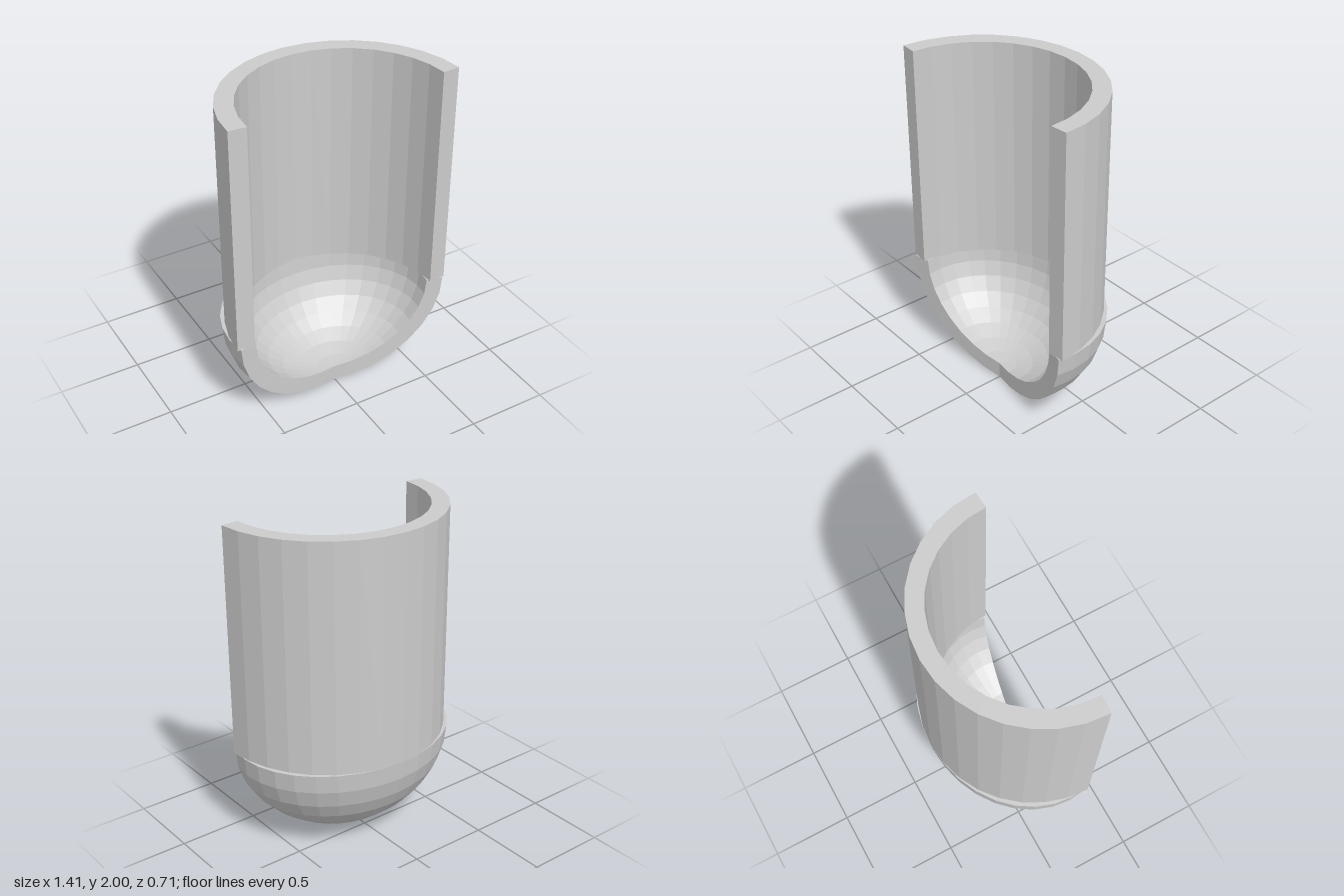
import * as THREE from 'three';

// Sweeps a closed cross-section round the back in flat facets and caps both ends.
// section(): points {rx, rz, zc, y}, outer side going up, then inner side going down.
function sweep(name, section, halfAngle, steps) {
  const rings = [];
  for (let i = 0; i <= steps; i++) {
    const a = halfAngle * (2 * i / steps - 1);
    rings.push(section.map(p => new THREE.Vector3(p.rx * Math.sin(a), p.y, p.zc - p.rz * Math.cos(a))));
  }
  const pos = [];
  const tri = (a, b, c) => {
    const area = new THREE.Triangle(a, b, c).getArea();
    if (area > 1e-8) for (const v of [a, b, c]) pos.push(v.x, v.y, v.z);
  };
  const quad = (a, b, c, d) => { tri(a, b, c); tri(a, c, d); };
  const n = section.length;
  for (let i = 0; i < steps; i++) {
    const r = rings[i], s = rings[i + 1];
    for (let j = 0; j < n; j++) {
      const k = (j + 1) % n;
      quad(r[j], r[k], s[k], s[j]);
    }
  }
  // end faces, joining the outer and inner sides
  const first = rings[0], last = rings[steps];
  for (let j = 0; j < n / 2 - 1; j++) {
    const c = n - 2 - j, d = n - 1 - j;
    quad(first[d], first[c], first[j + 1], first[j]);
    quad(last[j], last[j + 1], last[c], last[d]);
  }
  const geometry = new THREE.BufferGeometry();
  geometry.setAttribute('position', new THREE.Float32BufferAttribute(pos, 3));
  geometry.computeVertexNormals();
  const mesh = new THREE.Mesh(geometry, new THREE.MeshStandardMaterial({
    color: 0xcccccc, flatShading: true, side: THREE.DoubleSide }));
  mesh.name = name;
  return mesh;
}

export function createModel() {
  const group = new THREE.Group();
  group.name = 'halfShell';
  const seg = Math.PI / 16;

  // upright half-round wall
  const outer = { rx: 0.705, rz: 0.702, zc: 0.347 };
  const inner = { rx: 0.6, rz: 0.608, zc: 0.355 };
  group.add(sweep('wall', [
    { ...outer, y: 0.595 }, { ...outer, y: 2 },
    { ...inner, y: 2 }, { ...inner, y: 0.595 },
  ], Math.PI / 2, 16));

  // hollow bowl, reaching one facet past the half turn on each side
  const rings = 8;
  const arc = (rx, r) => Array.from({ length: rings + 1 }, (_, i) => {
    const t = i / rings * Math.PI / 2;
    return { rx: rx * Math.sin(t), rz: r * Math.sin(t), zc: 0.242, y: 0.6 - r * Math.cos(t) };
  });
  const bowl = [...arc(0.702, 0.597), ...arc(0.598, 0.493).reverse()];
  for (const p of bowl) p.y = Math.max(0, (p.y - 0.003) * 0.6 / 0.597);
  group.add(sweep('bowl', bowl, 9 * seg, 18));

  return group;
}
